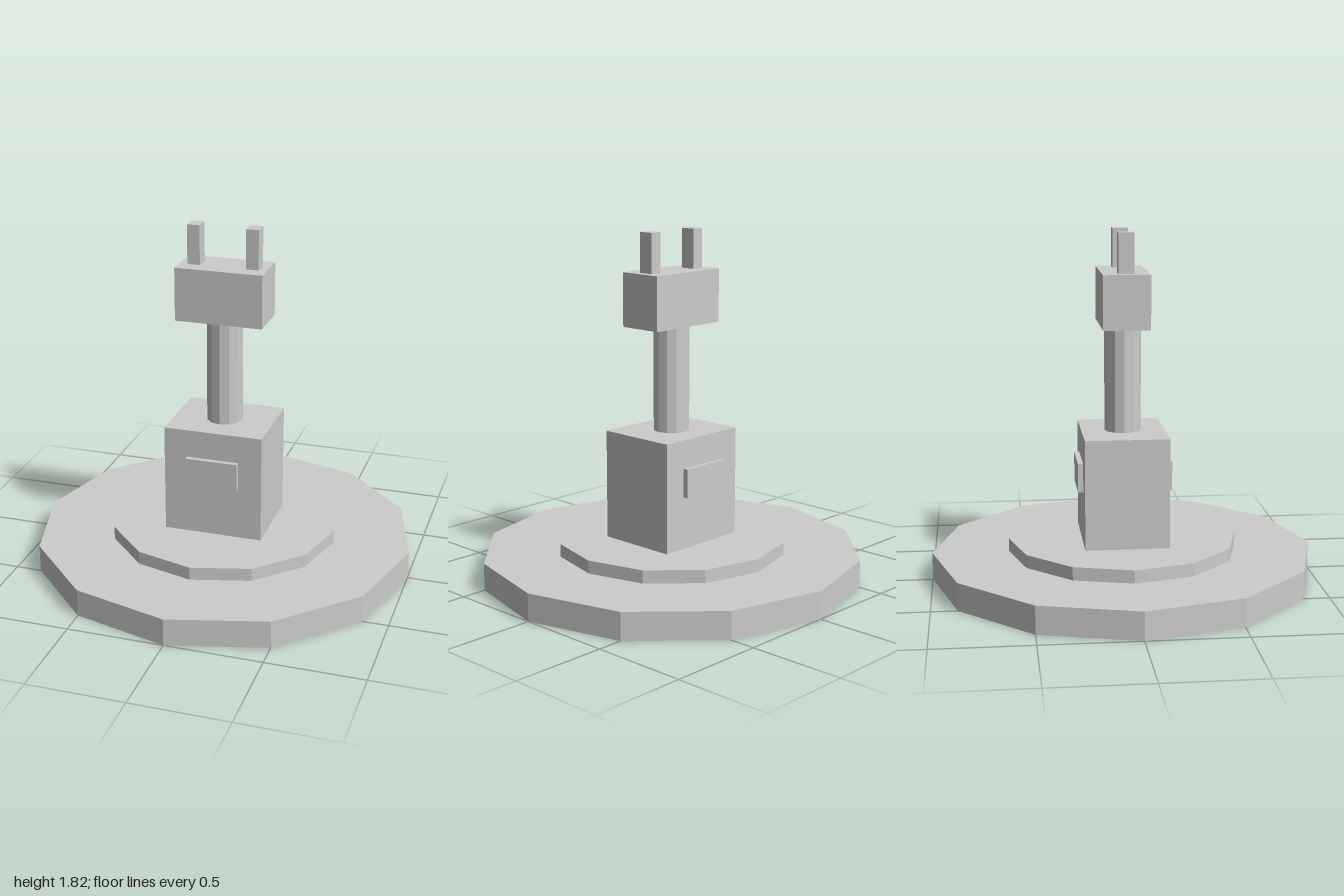
import * as THREE from 'three';

export function createModel() {
  const model = new THREE.Group();
  const grey = new THREE.MeshStandardMaterial({ color: 0xcccccc, flatShading: true, side: THREE.DoubleSide });
  grey.name = 'plain grey';

  const add = (name, geometry, x, y, z) => {
    const mesh = new THREE.Mesh(geometry, grey);
    mesh.name = name;
    mesh.position.set(x, y, z);
    model.add(mesh);
  };
  // Parts are given by their bottom and top heights
  const box = (name, w, d, y0, y1, x = 0, z = 0) =>
    add(name, new THREE.BoxGeometry(w, y1 - y0, d), x, (y0 + y1) / 2, z);
  const drum = (name, r, y0, y1, open = false) =>
    add(name, new THREE.CylinderGeometry(r, r, y1 - y0, 12, 1, open), 0, (y0 + y1) / 2, 0);

  // Hollow base: rim and top, open underneath
  drum('baseRim', 1, 0, 0.144, true);
  const top = new THREE.CircleGeometry(1, 12).rotateX(-Math.PI / 2);
  add('baseTop', top, 0, 0.144, 0);
  // Raised step, which shows slightly below the base top
  drum('baseStep', 0.6, 0.128, 0.212);

  // Body with a panel on the front and back
  box('body', 0.52, 0.434, 0.212, 0.785);
  for (const s of [1, -1]) box(s > 0 ? 'frontPanel' : 'backPanel', 0.274, 0.03, 0.486, 0.637, 0, s * 0.229);

  // Column and head
  drum('column', 0.095, 0.785, 1.337);
  box('head', 0.456, 0.24, 1.337, 1.615);

  // Upright prongs
  for (const s of [1, -1]) box(s > 0 ? 'leftProng' : 'rightProng', 0.066, 0.08, 1.615, 1.82, s * 0.153);

  return model;
}
